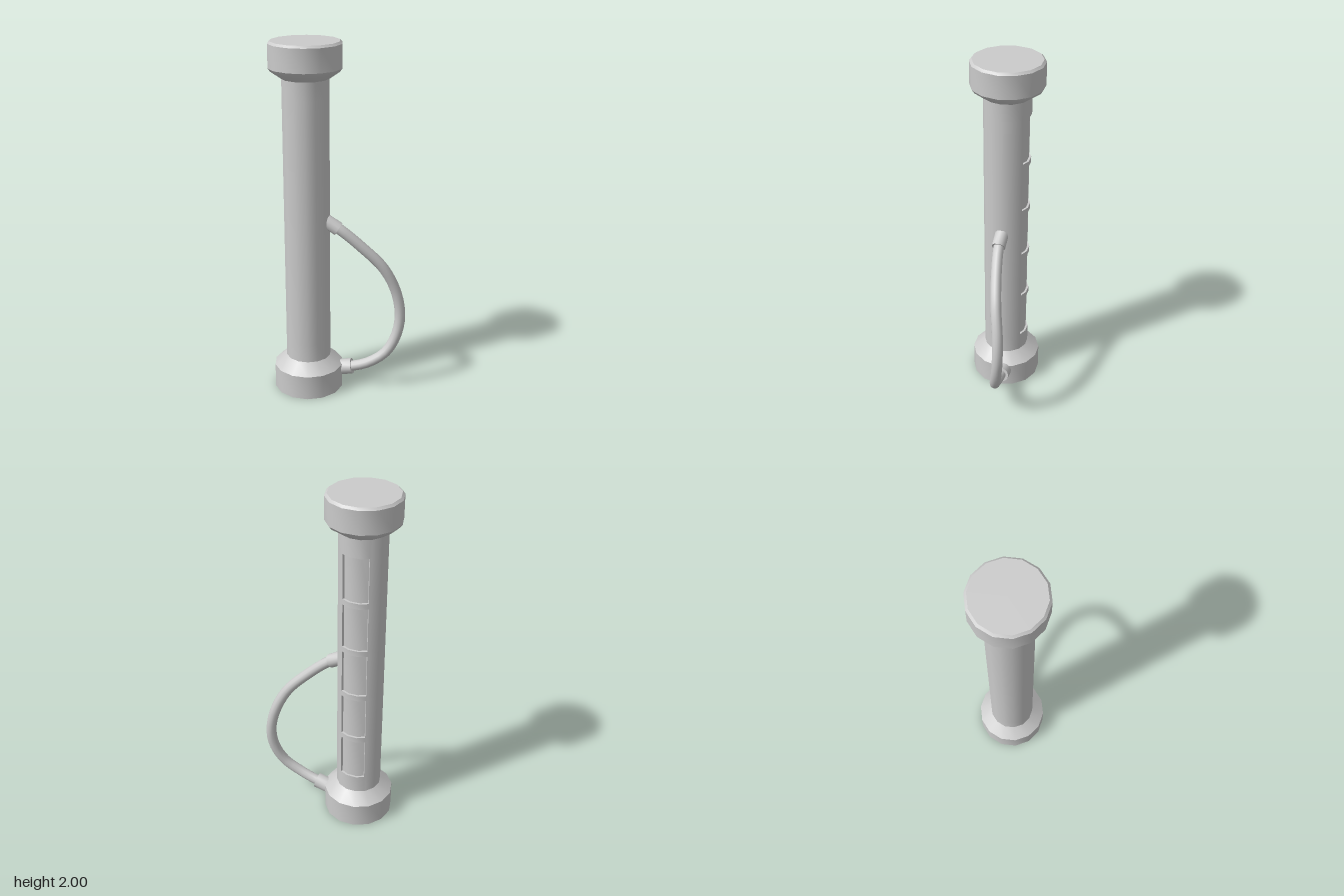
import * as THREE from 'three';
import { toCreasedNormals } from 'three/addons/utils/BufferGeometryUtils.js';

const SIDES = 14, AXIS_X = -0.177, CREASE = 0.6;
const material = new THREE.MeshStandardMaterial({ color: 0xcccccc, side: THREE.DoubleSide });

function addMesh(parent, name, geometry) {
  const mesh = new THREE.Mesh(geometry, material);
  mesh.name = name;
  parent.add(mesh);
  return mesh;
}

// Faceted collar turned around the upright axis, with a corner facing +x
function collar(profile) {
  const points = profile.map(([r, y]) => new THREE.Vector2(r, y));
  return toCreasedNormals(new THREE.LatheGeometry(points, SIDES, Math.PI / 2), CREASE);
}

// Tube wall with a column of shallow recessed panels at the back
function shaftGeometry() {
  const R = 0.128, depth = 0.012, step = (2 * Math.PI) / SIDES;
  // rows: [height, recessed]; paired rows make the ledges
  const rows = [[0.18, false]];
  for (let i = 0; i < 5; i++) {
    const low = 0.305 + i * 0.286, high = low + 0.254;
    rows.push([low, false], [low, true], [high, true], [high, false]);
  }
  rows.push([1.83, false]);

  // columns: [angle from the back, recessed]
  const edge = 0.6;
  const cols = [[-edge, false], [-edge, true], [-step / 2, true], [step / 2, true], [edge, true], [edge, false]];
  for (let k = 1; k < SIDES - 1; k++) cols.push([step * (k + 0.5), false]);
  cols.push([2 * Math.PI - edge, false]);

  const facetRadius = a => {
    const local = a - Math.round(a / step) * step;
    return R * Math.cos(step / 2) / Math.cos(local);
  };
  const point = ([y, rowIn], [a, colIn]) => {
    const r = facetRadius(a) - (rowIn && colIn ? depth : 0);
    return new THREE.Vector3(r * Math.sin(a), y, -r * Math.cos(a));
  };

  const positions = [];
  const triangle = (a, b, c) => {
    const area = b.clone().sub(a).cross(c.clone().sub(a)).length();
    if (area > 1e-8) for (const p of [a, b, c]) positions.push(p.x, p.y, p.z);
  };
  for (let i = 0; i < rows.length - 1; i++) {
    for (let j = 0; j < cols.length - 1; j++) {
      const a = point(rows[i], cols[j]), b = point(rows[i], cols[j + 1]);
      const c = point(rows[i + 1], cols[j + 1]), d = point(rows[i + 1], cols[j]);
      triangle(a, c, b);
      triangle(a, d, c);
    }
  }
  const geometry = new THREE.BufferGeometry();
  geometry.setAttribute('position', new THREE.Float32BufferAttribute(positions, 3));
  return toCreasedNormals(geometry, CREASE);
}

// Short cylinder between two points
function addConnector(parent, name, from, to, radius) {
  const a = new THREE.Vector3(...from), b = new THREE.Vector3(...to);
  const dir = b.clone().sub(a);
  const geometry = toCreasedNormals(new THREE.CylinderGeometry(radius, radius, dir.length(), 12), CREASE);
  const mesh = addMesh(parent, name, geometry);
  mesh.position.copy(a).add(b).multiplyScalar(0.5);
  mesh.quaternion.setFromUnitVectors(new THREE.Vector3(0, 1, 0), dir.normalize());
}

export function createModel() {
  const model = new THREE.Group();
  model.name = 'tubeWithHose';

  // Upright body
  const body = new THREE.Group();
  body.name = 'body';
  body.position.x = AXIS_X;
  model.add(body);
  addMesh(body, 'shaft', shaftGeometry());
  addMesh(body, 'topCap', collar([[0.127, 1.805], [0.185, 1.845], [0.1975, 1.862], [0.1975, 1.988], [0.185, 2], [0, 2]]));
  addMesh(body, 'bottomCap', collar([[0.1975, 0], [0.1975, 0.14], [0.127, 0.2]]));

  // Hose looping from the middle of the shaft to the bottom cap
  const hose = new THREE.Group();
  hose.name = 'hose';
  model.add(hose);
  const path = new THREE.CatmullRomCurve3([
    [-0.03, 1.0, 0], [0.02, 0.968, -0.003], [0.13, 0.873, -0.022], [0.245, 0.75, -0.052],
    [0.315, 0.6, -0.08], [0.34, 0.45, -0.085], [0.322, 0.33, -0.073],
    [0.27, 0.23, -0.052], [0.19, 0.168, -0.036], [0.11, 0.132, -0.033], [0.04, 0.114, -0.034],
  ].map(p => new THREE.Vector3(...p)));
  addMesh(hose, 'hosePipe', new THREE.TubeGeometry(path, 28, 0.03, 12));
  addConnector(hose, 'upperConnector', [-0.086, 1.03, 0], [0.002, 0.979, 0], 0.039);
  addConnector(hose, 'lowerConnector', [-0.02, 0.1, -0.034], [0.074, 0.122, -0.034], 0.045);

  return model;
}
